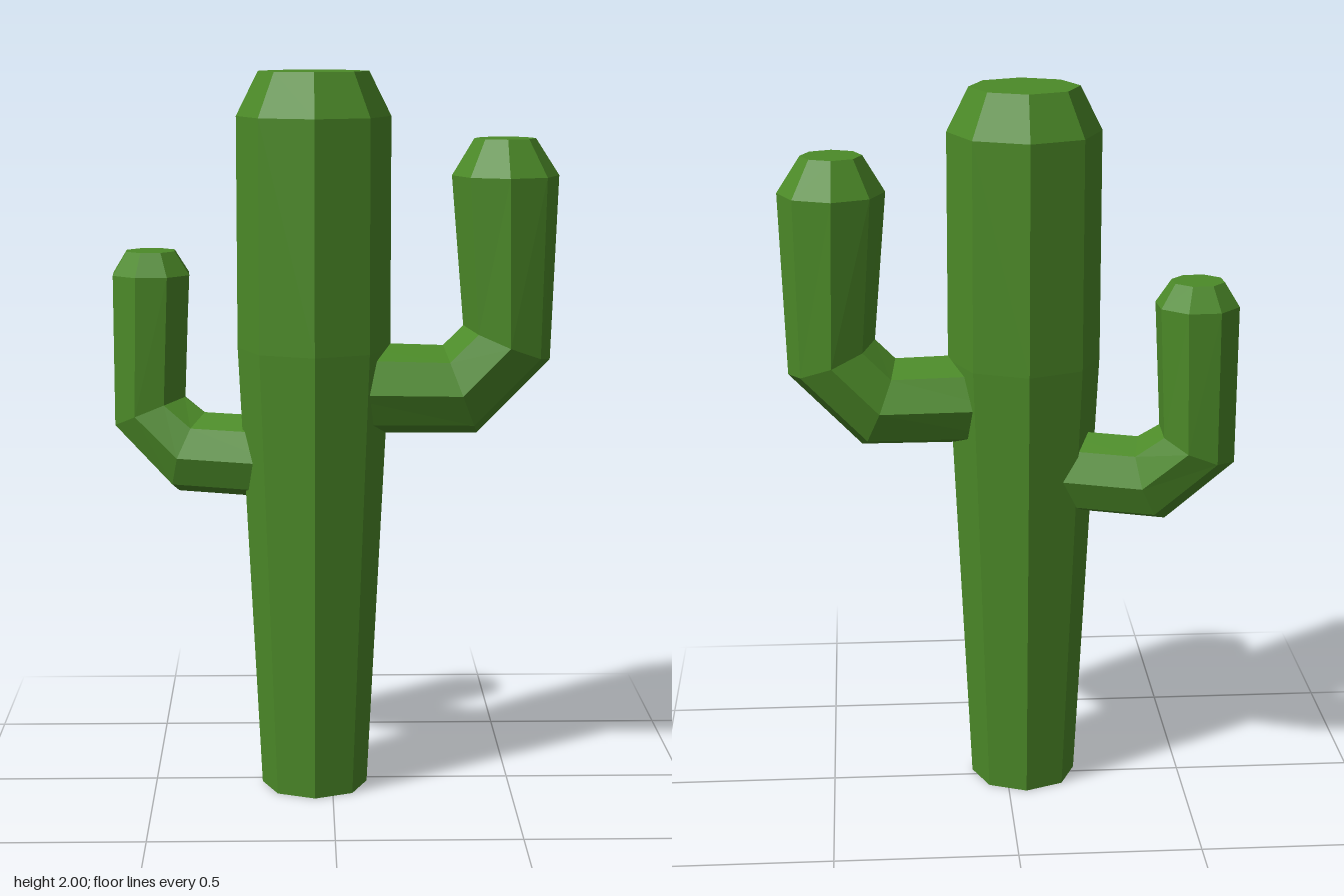
import * as THREE from 'three';

const SIDES = 8;

// Eight-sided limb lofted through rings [innerX, innerY, outerX, outerY, halfWidth]
function limbGeometry(rings) {
  const pos = [], index = [];
  for (const [ix, iy, ox, oy, w] of rings) {
    for (let k = 0; k < SIDES; k++) {
      const a = (k / SIDES) * Math.PI * 2, c = Math.cos(a) / 2;
      pos.push((ix + ox) / 2 + (ox - ix) * c, (iy + oy) / 2 + (oy - iy) * c, w * Math.sin(a));
    }
  }
  for (let r = 0; r < rings.length - 1; r++) {
    for (let k = 0; k < SIDES; k++) {
      const a = r * SIDES + k, b = r * SIDES + ((k + 1) % SIDES);
      index.push(a, a + SIDES, b, b, a + SIDES, b + SIDES);
    }
  }
  // Flat ends
  const last = (rings.length - 1) * SIDES;
  for (let k = 1; k < SIDES - 1; k++) {
    index.push(0, k, k + 1, last, last + k + 1, last + k);
  }
  const geo = new THREE.BufferGeometry();
  geo.setAttribute('position', new THREE.Float32BufferAttribute(pos, 3));
  geo.setIndex(index);
  const flat = geo.toNonIndexed();
  flat.computeVertexNormals();
  return flat;
}

export function createModel() {
  const group = new THREE.Group();
  const green = new THREE.MeshStandardMaterial({ color: 0x4c8a28, flatShading: true });

  const add = (name, geometry, turn = 0) => {
    const mesh = new THREE.Mesh(geometry, green);
    mesh.name = name;
    mesh.position.set(-0.05, 0, 0.03); // everything grows from the trunk axis
    mesh.rotation.y = turn;
    group.add(mesh);
  };

  // Trunk: tapers towards the ground, bevelled crown
  const profile = [[0, 0], [0.148, 0], [0.21, 1.25], [0.21, 1.88], [0.15, 2], [0, 2]];
  add('trunk', new THREE.LatheGeometry(profile.map(([x, y]) => new THREE.Vector2(x, y)), SIDES));

  // Larger arm on the left side
  add('leftArm', limbGeometry([
    [0.05, 1.265, 0.05, 1.01, 0.133],
    [0.355, 1.255, 0.45, 1.01, 0.133],
    [0.41, 1.31, 0.65, 1.215, 0.133],
    [0.375, 1.72, 0.667, 1.72, 0.145],
    [0.435, 1.82, 0.602, 1.82, 0.084],
  ]));

  // Smaller arm on the right side, swung towards the back
  add('rightArm', limbGeometry([
    [0.05, 1.05, 0.05, 0.82, 0.113],
    [0.325, 1.05, 0.405, 0.82, 0.113],
    [0.385, 1.09, 0.595, 1.0, 0.113],
    [0.367, 1.435, 0.597, 1.435, 0.115],
    [0.41, 1.5, 0.555, 1.5, 0.073],
  ]), Math.PI - 0.34);

  return group;
}
